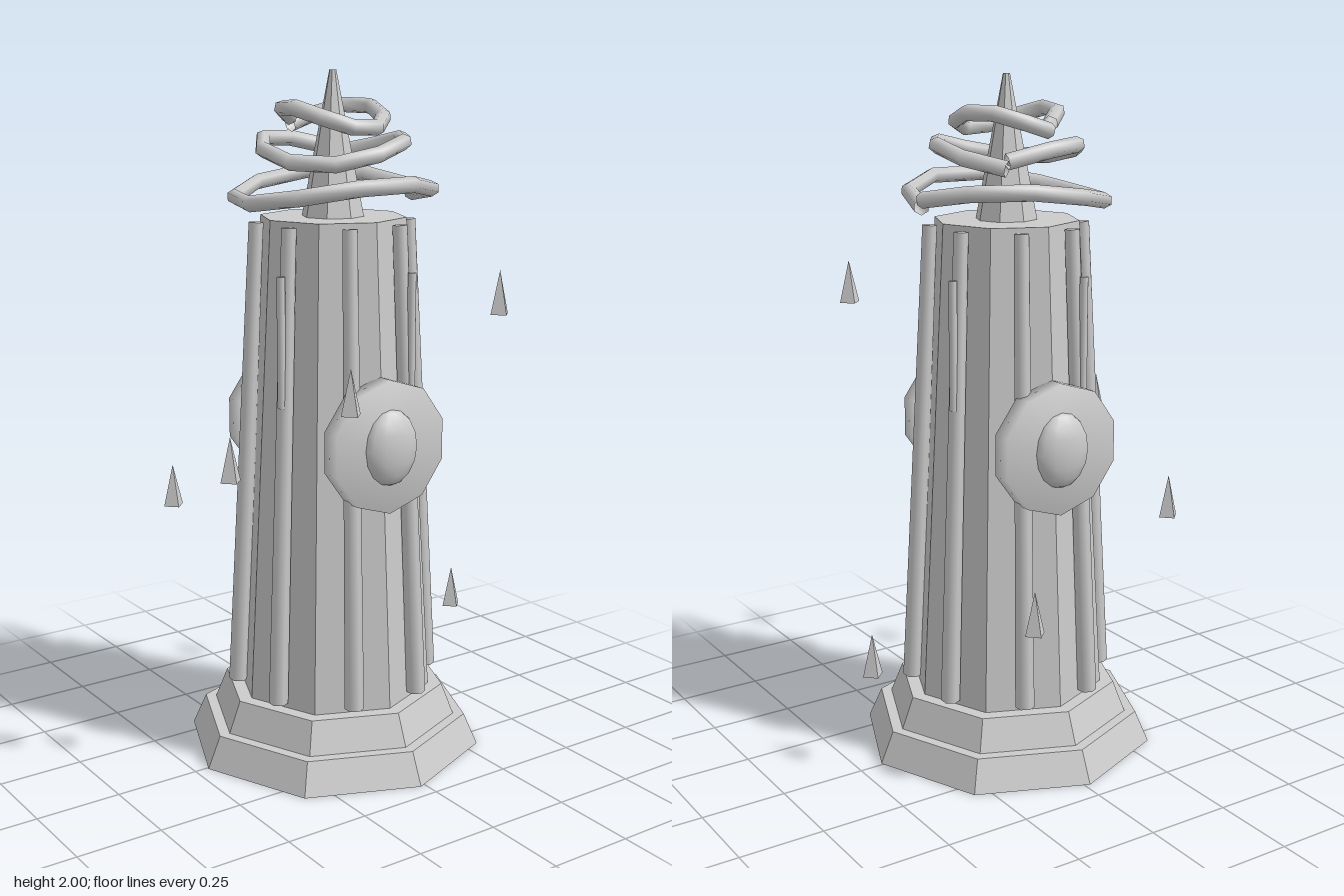
import * as THREE from 'three';

const flat = new THREE.MeshStandardMaterial({ color: 0xcccccc, flatShading: true });
const smooth = new THREE.MeshStandardMaterial({ color: 0xcccccc });
const smoothOpen = new THREE.MeshStandardMaterial({ color: 0xcccccc, side: THREE.DoubleSide });

function add(parent, name, geometry, material) {
  const mesh = new THREE.Mesh(geometry, material);
  mesh.name = name;
  parent.add(mesh);
  return mesh;
}

// Upright tapered prism between two heights
function prism(parent, name, y0, y1, r0, r1, sides = 8) {
  const mesh = add(parent, name, new THREE.CylinderGeometry(r1, r0, y1 - y0, sides), flat);
  mesh.position.y = (y0 + y1) / 2;
  return mesh;
}

// Round bar joining two points
function bar(parent, name, a, b, ra, rb) {
  const dir = b.clone().sub(a);
  const mesh = add(parent, name, new THREE.CylinderGeometry(rb, ra, dir.length(), 6), smooth);
  mesh.position.copy(a).add(b).multiplyScalar(0.5);
  mesh.quaternion.setFromUnitVectors(new THREE.Vector3(0, 1, 0), dir.normalize());
}

function polar(angle, r, y) {
  return new THREE.Vector3(r * Math.cos(angle), y, r * Math.sin(angle));
}

export function createModel() {
  const model = new THREE.Group();
  model.name = 'obelisk';
  const tower = new THREE.Group();
  tower.name = 'tower';
  tower.position.set(-0.016, 0, 0.007);
  model.add(tower);

  // Stepped octagonal base, shaft and spire
  prism(tower, 'lowerStep', 0, 0.093, 0.444, 0.403);
  prism(tower, 'upperStep', 0.093, 0.186, 0.37, 0.333);
  prism(tower, 'shaft', 0.186, 1.593, 0.292, 0.212);
  prism(tower, 'spire', 1.593, 2, 0.09, 0.01);

  // A rib on every face of the shaft
  for (let i = 0; i < 8; i++) {
    const a = Math.PI / 8 + i * Math.PI / 4;
    bar(tower, 'rib', polar(a, 0.292, 0.205), polar(a, 0.222, 1.58), 0.028, 0.021);
  }

  // Thin rods on every second face
  for (let i = 0; i < 4; i++) {
    const a = -Math.PI / 8 + i * Math.PI / 2;
    bar(tower, 'rod', polar(a, 0.263, 1.08), polar(a, 0.263, 1.45), 0.012, 0.012);
  }

  // Front and back discs with a raised oval centre; smooth normals give a domed look
  for (const side of [1, -1]) {
    const medallion = new THREE.Group();
    medallion.name = side > 0 ? 'frontMedallion' : 'backMedallion';
    medallion.position.y = 0.97;
    medallion.rotation.y = side > 0 ? 0 : Math.PI;
    tower.add(medallion);
    const profile = [[0, 0.225], [0.193, 0.225], [0.193, 0.285], [0, 0.287]]
      .map(([r, h]) => new THREE.Vector2(r, h));
    const disc = add(medallion, 'disc', new THREE.LatheGeometry(profile, 10), smooth);
    disc.rotation.x = Math.PI / 2;
    const eye = add(medallion, 'ovalBoss', new THREE.SphereGeometry(1, 12, 8), smooth);
    eye.scale.set(0.088, 0.11, 0.045);
    eye.position.z = 0.284;
  }

  // Wavy open rings, each turned one radian further
  const rings = [[0.28, 1.67], [0.207, 1.78], [0.143, 1.872]];
  rings.forEach(([radius, y], i) => {
    const points = [];
    for (let k = 0; k <= 10; k++) {
      const u = k / 10 * Math.PI * 2;
      points.push(polar(u, radius, 0.03 * Math.sin(1.7 * u - Math.PI / 3)));
    }
    const curve = new THREE.CatmullRomCurve3(points);
    const ring = add(tower, 'ring', new THREE.TubeGeometry(curve, 10, 0.023, 6, false), smoothOpen);
    ring.position.y = y;
    ring.rotation.y = i;
  });

  // Floating shards circling the tower
  const shards = [
    [0.466, 0.37, -0.023], [0.18, 0.575, -0.435], [-0.383, 0.78, -0.307],
    [-0.469, 0.98, 0.175], [-0.25, 1.185, 0.428], [0.31, 1.39, 0.362],
  ];
  for (const [x, y, z] of shards) {
    const shard = add(model, 'shard', new THREE.ConeGeometry(0.032, 0.125, 4), flat);
    shard.position.set(x, y, z);
  }
  return model;
}
